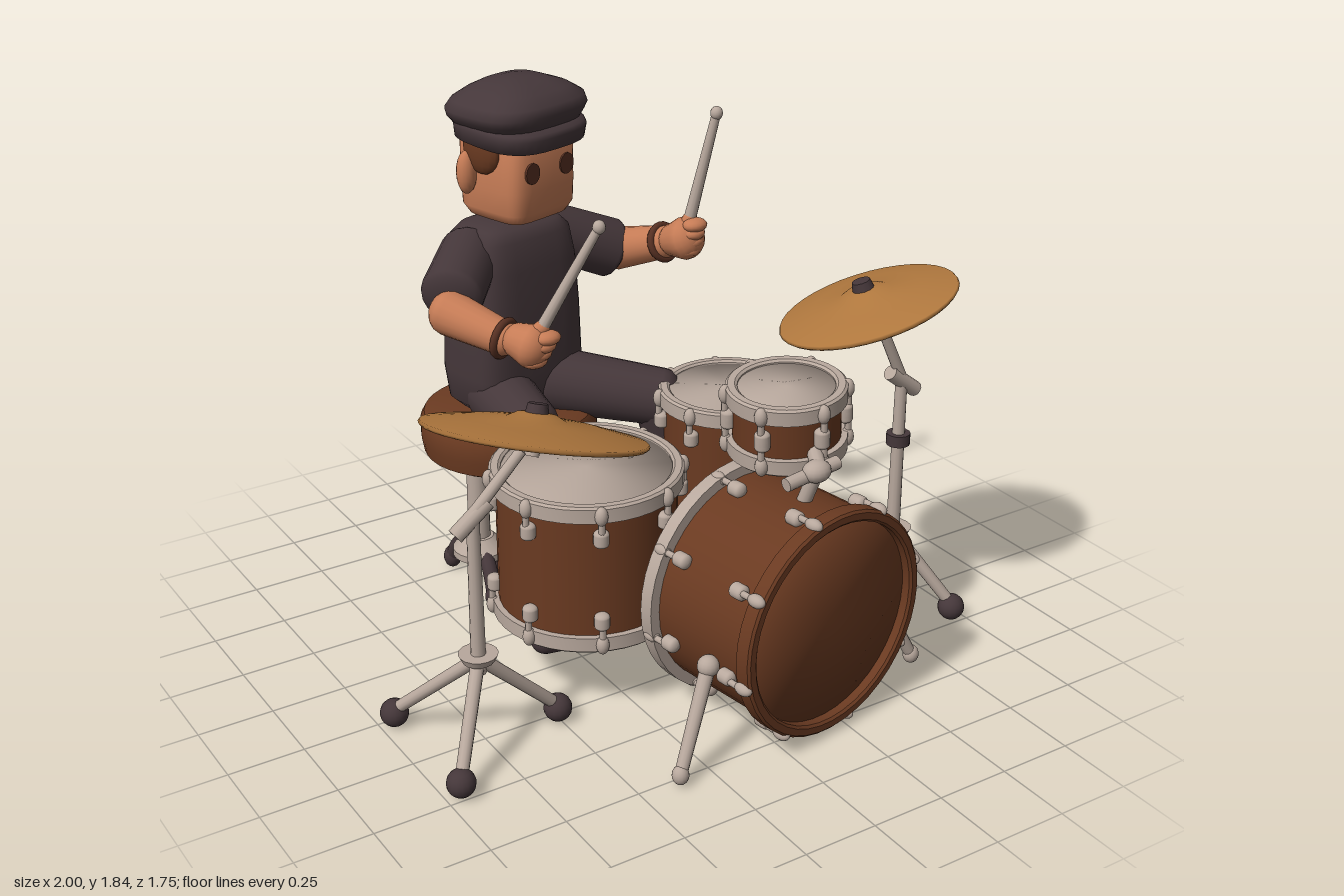
import * as THREE from 'three';
import { toCreasedNormals } from 'three/addons/utils/BufferGeometryUtils.js';
import { RoundedBoxGeometry } from 'three/addons/geometries/RoundedBoxGeometry.js';

const V = (x, y, z) => new THREE.Vector3(x, y, z);
const UP = V(0, 1, 0);
const mat = (name, color) => {
  const m = new THREE.MeshStandardMaterial({ color });
  m.name = name;
  return m;
};
const cloth = mat('charcoal cloth', 0x45373a);
const skin = mat('skin', 0xc67c56);
const wood = mat('brown wood', 0x6a3a21);
const metal = mat('pale metal', 0xb8a89d);
const brass = mat('brass', 0xb0783e);
const dark = mat('dark brown', 0x583123);

function add(parent, name, geo, material, x = 0, y = 0, z = 0) {
  const m = new THREE.Mesh(geo, material);
  m.name = name;
  m.position.set(x, y, z);
  parent.add(m);
  return m;
}
function group(parent, name, x = 0, y = 0, z = 0) {
  const g = new THREE.Group();
  g.name = name;
  g.position.set(x, y, z);
  parent.add(g);
  return g;
}
// straight rod from a to b
function rod(parent, name, a, b, r0, r1, material, seg = 12) {
  const d = b.clone().sub(a), mid = a.clone().add(b).multiplyScalar(0.5);
  const m = add(parent, name, new THREE.CylinderGeometry(r1, r0, d.length(), seg), material, mid.x, mid.y, mid.z);
  m.quaternion.setFromUnitVectors(UP, d.normalize());
}
// tapered limb with softly rounded ends
function limb(parent, name, a, b, ra, rb, material, round = 0.6) {
  const d = b.clone().sub(a), len = d.length(), pts = [];
  for (let i = 0; i <= 5; i++) {
    const t = (i / 5) * Math.PI / 2;
    pts.push(new THREE.Vector2(ra * Math.sin(t), -ra * round * Math.cos(t)));
  }
  for (let i = 0; i <= 5; i++) {
    const t = (i / 5) * Math.PI / 2;
    pts.push(new THREE.Vector2(Math.max(0, rb * Math.cos(t)), len + rb * round * Math.sin(t)));
  }
  const m = add(parent, name, new THREE.LatheGeometry(pts, 18), material, a.x, a.y, a.z);
  m.quaternion.setFromUnitVectors(UP, d.normalize());
}
function ball(parent, name, p, rx, ry, rz, material) {
  add(parent, name, new THREE.SphereGeometry(1, 16, 10), material, p.x, p.y, p.z).scale.set(rx, ry, rz);
}
// stacked superellipse sections: [y, halfWidth, halfDepth, zOffset]
function loft(rings, power, seg = 32) {
  const pos = [], idx = [], n = rings.length;
  const curve = (v) => Math.sign(v) * Math.abs(v) ** (2 / power);
  for (const [y, w, d, oz = 0] of rings)
    for (let j = 0; j < seg; j++) {
      const t = (j / seg) * Math.PI * 2;
      pos.push(w * curve(Math.cos(t)), y, oz + d * curve(Math.sin(t)));
    }
  pos.push(0, rings[0][0], rings[0][3] || 0, 0, rings[n - 1][0], rings[n - 1][3] || 0);
  for (let j = 0; j < seg; j++) {
    const k = (j + 1) % seg, top = (n - 1) * seg;
    for (let i = 0; i < n - 1; i++) {
      const a = i * seg + j, b = i * seg + k;
      idx.push(a, a + seg, b, b, a + seg, b + seg);
    }
    idx.push(n * seg, j, k, n * seg + 1, top + k, top + j);
  }
  const g = new THREE.BufferGeometry();
  g.setAttribute('position', new THREE.Float32BufferAttribute(pos, 3));
  g.setIndex(idx);
  g.computeVertexNormals();
  return g;
}
const softLathe = (pts, seg = 36) => new THREE.LatheGeometry(pts.map(([x, y]) => new THREE.Vector2(x, y)), seg);
const lathe = (pts, seg) => toCreasedNormals(softLathe(pts, seg), 0.6);

// drum along its local y axis, with hoops, heads and tension lugs
function drum(parent, name, c, r, h, n, axis, headMat, topHoop, recess, lowLip = 0.02) {
  const g = group(parent, name, c.x, c.y, c.z), hy = h / 2 - recess;
  g.quaternion.setFromUnitVectors(UP, axis.normalize());
  add(g, 'shell', new THREE.CylinderGeometry(r, r, h - 0.04, 40, 1, true), wood);
  add(g, 'heads', softLathe([[0, -hy], [r - 0.004, -hy], [r - 0.004, hy], [0, hy]], 40), headMat);
  for (const s of [1, -1]) {
    const lip = s > 0 ? 0.02 : lowLip;
    const ring = add(g, 'hoop', lathe([[r - 0.018, -0.027], [r + lip, -0.027], [r + lip, 0.02], [r + lip - 0.008, 0.027],
      [r - 0.01, 0.027], [r - 0.018, 0.02], [r - 0.018, -0.027]], 40), s > 0 ? topHoop : metal, 0, s * (h / 2 - 0.027), 0);
    if (s < 0) ring.rotation.x = Math.PI;
    for (let i = 0; i < n; i++) {
      const t = ((i + 0.5) / n) * Math.PI * 2;
      const at = (rad, y) => V(Math.cos(t) * rad, s * y, Math.sin(t) * rad);
      limb(g, 'lug', at(r + 0.012, h / 2 - 0.125), at(r + 0.012, h / 2 - 0.095), 0.025, 0.025, metal);
      rod(g, 'tensionRod', at(r + 0.022, h / 2 - 0.1), at(r + 0.022, h / 2 - 0.02), 0.011, 0.011, metal, 8);
      ball(g, 'hoopBolt', at(r + 0.02, h / 2 - 0.03), 0.021, 0.032, 0.021, metal);
    }
  }
}

function cymbal(parent, name, c, r, slopeX, slopeZ) {
  const g = group(parent, name, c.x, c.y, c.z);
  g.quaternion.setFromUnitVectors(UP, V(-slopeX, 1, -slopeZ).normalize());
  add(g, 'plate', softLathe([[0, -0.014], [r - 0.008, -0.034], [r, -0.026], [r - 0.004, -0.018],
    [r * 0.6, 0.006], [0.09, 0.018], [0.06, 0.034], [0, 0.042]]), brass);
  add(g, 'wingNut', new THREE.CylinderGeometry(0.03, 0.036, 0.03, 12), cloth, 0, 0.05, 0);
  rod(g, 'cymbalPin', V(0, -0.09, 0), V(0, 0, 0), 0.022, 0.026, metal);
}

// three-footed stand; dir is the x direction in which the boom leans
function cymbalStand(parent, name, x, z, dir, top, feet, cymbalAt) {
  const g = group(parent, name);
  rod(g, 'post', V(x, 0.28, z), V(x, top, z), 0.024, 0.02, metal);
  add(g, 'hub', new THREE.CylinderGeometry(0.062, 0.05, 0.025, 16), metal, x, 0.335, z);
  for (const [fx, fz] of feet) {
    rod(g, 'standLeg', V(x, 0.33, z), V(fx, 0.06, fz), 0.022, 0.02, metal);
    ball(g, 'rubberFoot', V(fx, 0.05, fz), 0.046, 0.046, 0.046, cloth);
  }
  rod(g, 'boomArm', V(x, top + 0.02, z), V(cymbalAt.x - dir * 0.05, cymbalAt.y - 0.07, cymbalAt.z), 0.019, 0.017, metal);
  rod(g, 'boomClamp', V(x - dir * 0.06, top - 0.035, z), V(x + dir * 0.05, top + 0.05, z), 0.026, 0.026, metal);
  return g;
}

function buildDrummer(root) {
  const d = group(root, 'drummer');
  // torso, turned slightly to its left, and neck
  add(d, 'shirt', loft([[0.7, 0.17, 0.12], [0.74, 0.212, 0.15], [0.85, 0.225, 0.16], [1.05, 0.218, 0.157],
    [1.22, 0.207, 0.15], [1.32, 0.192, 0.132], [1.355, 0.16, 0.105], [1.368, 0.1, 0.065]], 4),
  cloth, -0.152, 0, -0.602).rotation.y = 0.18;
  rod(d, 'neck', V(-0.13, 1.33, -0.59), V(-0.13, 1.42, -0.585), 0.058, 0.055, skin, 16);

  // head, turned to its left
  const h = group(d, 'head', -0.135, 0, -0.57);
  h.rotation.y = 0.28;
  add(h, 'face', loft([[1.383, 0.1, 0.1], [1.392, 0.13, 0.125], [1.425, 0.148, 0.145], [1.5, 0.151, 0.148],
    [1.72, 0.151, 0.148]], 5), skin);
  for (const s of [1, -1]) {
    const eye = add(h, 'eye', new THREE.CylinderGeometry(1, 1, 0.008, 20), dark, s * 0.078, 1.565, 0.149);
    eye.rotation.x = Math.PI / 2;
    eye.scale.set(0.031, 1, 0.035);
    ball(h, 'ear', V(s * 0.172, 1.55, -0.058), 0.036, 0.073, 0.032, skin);
    ball(h, 'sideHair', V(s * 0.152, 1.635, -0.005), 0.03, 0.085, 0.08, wood);
  }
  add(h, 'cap', loft([[1.68, 0.17, 0.16, -0.01], [1.71, 0.193, 0.178],
    [1.73, 0.212, 0.185], [1.755, 0.222, 0.19, 0.005], [1.785, 0.208, 0.176, 0.012],
    [1.815, 0.162, 0.136, 0.012], [1.836, 0.105, 0.09, 0.005], [1.846, 0.045, 0.04]], 3), cloth);
  add(h, 'capBrim', loft([[-0.028, 0.17, 0.16], [-0.023, 0.196, 0.18], [0.02, 0.202, 0.184],
    [0.035, 0.196, 0.176], [0.05, 0.17, 0.15]], 3), cloth, 0, 1.678, 0.018).rotation.x = 0.07;

  // arms: shoulder, sleeve end, elbow, wrist, hand, stick tip
  const arms = [
    ['right', V(-0.31, 1.265, -0.59), V(-0.465, 1.21, -0.42), V(-0.495, 1.165, -0.38), V(-0.4, 1.12, -0.2), V(-0.355, 1.12, -0.1), V(-0.18, 1.515, 0.022)],
    ['left', V(0.02, 1.265, -0.655), V(0.243, 1.17, -0.62), V(0.285, 1.155, -0.63), V(0.335, 1.235, -0.41), V(0.355, 1.275, -0.31), V(0.435, 1.71, -0.25)],
  ];
  for (const [side, shoulder, cuff, elbow, wrist, hand, tip] of arms) {
    const g = group(d, side + 'Arm');
    limb(g, 'sleeve', shoulder, cuff, 0.1, 0.104, cloth, 0.4);
    limb(g, 'forearm', elbow, wrist, 0.075, 0.057, skin, 0.9);
    const fwd = hand.clone().sub(elbow).normalize();
    const band = add(g, 'wristBand', new THREE.TorusGeometry(0.058, 0.013, 8, 20), dark, wrist.x, wrist.y, wrist.z);
    band.quaternion.setFromUnitVectors(V(0, 0, 1), fwd);
    const grip = tip.clone().sub(hand).normalize();
    limb(g, 'palm', hand.clone().addScaledVector(fwd, -0.05), hand, 0.058, 0.073, skin, 0.85);
    for (let i = 0; i < 4; i++) {
      const k = hand.clone().addScaledVector(fwd, 0.034).addScaledVector(grip, (i - 1.5) * 0.03);
      ball(g, 'finger', k, 0.044, 0.024, 0.036, skin);
    }
    limb(g, 'thumb', hand.clone().add(V(0, 0.03, 0)), hand.clone().addScaledVector(grip, 0.07), 0.03, 0.025, skin, 1);
    rod(g, 'drumstick', hand.clone().addScaledVector(grip, -0.05), tip, 0.023, 0.015, metal);
    ball(g, 'stickTip', tip, 0.021, 0.023, 0.021, metal);
  }

  // legs and boots
  const legs = [
    ['right', V(-0.25, 0.77, -0.53), V(-0.26, 0.735, -0.29), V(-0.3, 0.17, -0.3), -0.2],
    ['left', V(-0.04, 0.77, -0.53), V(0.25, 0.725, -0.29), V(0.38, 0.17, -0.3), 0.15],
  ];
  for (const [side, hip, knee, ankle, yaw] of legs) {
    const g = group(d, side + 'Leg');
    limb(g, 'thigh', hip, knee, 0.115, 0.1, cloth, 0.7);
    limb(g, 'shin', ankle, knee, 0.083, 0.098, cloth, 0.7);
    const boot = group(g, 'boot', ankle.x, 0, ankle.z);
    boot.rotation.y = yaw;
    add(boot, 'bootAnkle', new RoundedBoxGeometry(0.16, 0.18, 0.24, 3, 0.045), cloth, 0, 0.173, 0.05);
    add(boot, 'bootFoot', new RoundedBoxGeometry(0.165, 0.115, 0.37, 3, 0.05), cloth, 0, 0.137, 0.195);
  }
}

function buildStool(root) {
  const g = group(root, 'stool', -0.185, 0, -0.585);
  add(g, 'seat', lathe([[0, 0.535], [0.26, 0.535], [0.285, 0.55], [0.293, 0.6], [0.293, 0.66], [0.28, 0.685],
    [0.25, 0.698], [0, 0.7]], 40), wood).scale.x = 1.05;
  for (const s of [1, -1]) {
    const p = group(g, 'pedestal', s * 0.125, 0, s * 0.015);
    rod(p, 'column', V(0, 0.15, 0), V(0, 0.56, 0), 0.04, 0.036, metal, 16);
    add(p, 'collar', lathe([[0, 0.14], [0.095, 0.14], [0.095, 0.165], [0.05, 0.21], [0, 0.215]], 20), metal);
    for (const [fx, fz] of [[-0.03, 0.155], [0.085, -0.05], [-0.02, -0.18]]) {
      const path = new THREE.QuadraticBezierCurve3(V(fx * 0.25, 0.16, fz * 0.25), V(fx * 0.75, 0.16, fz * 0.75), V(fx, 0.04, fz));
      add(p, 'stoolLeg', new THREE.TubeGeometry(path, 10, 0.026, 10), cloth);
      ball(p, 'stoolFoot', V(fx, 0.045, fz), 0.032, 0.042, 0.032, cloth);
    }
  }
}

export function createModel() {
  const root = new THREE.Group();
  root.name = 'drummerWithKit';
  buildDrummer(root);
  buildStool(root);

  // drums
  drum(root, 'rightFloorTom', V(-0.27, 0.51, 0.08), 0.29, 0.51, 8, V(0, 1, 0), metal, metal, 0.012);
  drum(root, 'leftFloorTom', V(0.403, 0.545, -0.1), 0.222, 0.52, 8, V(0, 1, 0), metal, metal, 0.012);
  drum(root, 'rackTom', V(0.243, 0.942, 0.435), 0.17, 0.23, 6, V(-0.06, 1, 0.03), metal, metal, 0.012);
  drum(root, 'bassDrum', V(0.14, 0.4, 0.58), 0.355, 0.47, 8, V(0.156, 0, 0.988), wood, wood, 0.035, 0.035);

  // bass drum spurs and rack tom bracket
  const hw = group(root, 'bassDrumHardware');
  for (const [a, b] of [[V(-0.22, 0.33, 0.7), V(-0.37, 0.04, 0.78)], [V(0.51, 0.3, 0.6), V(0.65, 0.04, 0.62)]]) {
    rod(hw, 'spur', a, b, 0.024, 0.02, metal);
    ball(hw, 'spurClamp', a, 0.035, 0.035, 0.035, metal);
    ball(hw, 'spurTip', b, 0.027, 0.032, 0.027, metal);
  }
  rod(hw, 'tomPost', V(0.17, 0.72, 0.62), V(0.19, 0.85, 0.66), 0.024, 0.024, metal);
  rod(hw, 'tomArm', V(0.08, 0.84, 0.66), V(0.28, 0.86, 0.65), 0.022, 0.022, metal);
  ball(hw, 'tomClamp', V(0.19, 0.86, 0.665), 0.048, 0.036, 0.04, metal);
  rod(hw, 'tomBracket', V(0.2, 0.87, 0.66), V(0.24, 0.89, 0.58), 0.025, 0.025, metal);

  // cymbals and their stands
  const rc = V(-0.568, 1.058, 0.295), lc = V(0.62, 1.215, 0.335);
  cymbal(root, 'rightCymbal', rc, 0.343, -0.29, 0.21);
  cymbal(root, 'leftCymbal', lc, 0.296, 0.26, 0.2);
  cymbalStand(root, 'rightStand', -0.783, 0.29, 1, 0.8, [[-0.954, 0.03], [-0.95, 0.475], [-0.505, 0.28]], rc);
  const ls = cymbalStand(root, 'leftStand', 0.79, 0.33, -1, 0.88, [[0.952, 0.04], [0.952, 0.47], [0.545, 0.34]], lc);
  add(ls, 'heightCollar', new THREE.CylinderGeometry(0.04, 0.04, 0.04, 14), cloth, 0.79, 0.68, 0.33);
  return root;
}
